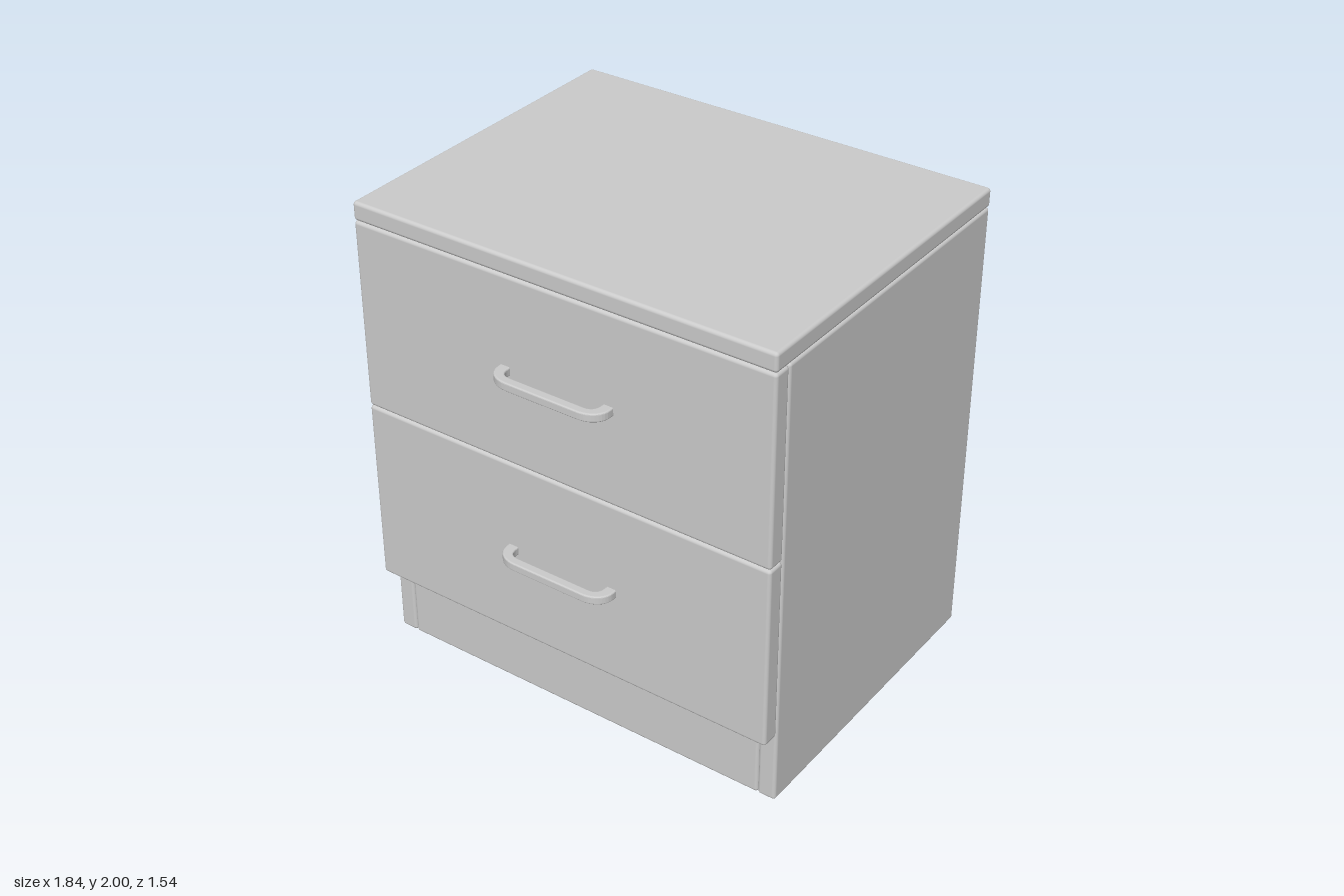
import * as THREE from 'three';
import { RoundedBoxGeometry } from 'three/addons/geometries/RoundedBoxGeometry.js';

const material = new THREE.MeshStandardMaterial({ color: 0xcccccc });

// Board with softened edges, given by its limits on each axis
function board(name, [x0, x1], [y0, y1], [z0, z1]) {
  const mesh = new THREE.Mesh(new RoundedBoxGeometry(x1 - x0, y1 - y0, z1 - z0, 3, 0.014), material);
  mesh.position.set((x0 + x1) / 2, (y0 + y1) / 2, (z0 + z1) / 2);
  mesh.name = name;
  return mesh;
}

// Flat bow handle: plan outline extruded upwards, z = 0 at the drawer face
function handleGeometry() {
  const s = new THREE.Shape();
  s.moveTo(-0.253, -0.01);
  s.lineTo(-0.253, 0.015);
  s.bezierCurveTo(-0.253, 0.06, -0.21, 0.092, -0.16, 0.092);
  s.lineTo(0.16, 0.092);
  s.bezierCurveTo(0.21, 0.092, 0.253, 0.06, 0.253, 0.015);
  s.lineTo(0.253, -0.01);
  s.lineTo(0.208, -0.01);
  s.lineTo(0.208, 0.015);
  s.quadraticCurveTo(0.205, 0.054, 0.165, 0.054);
  s.lineTo(-0.165, 0.054);
  s.quadraticCurveTo(-0.205, 0.054, -0.208, 0.015);
  s.lineTo(-0.208, -0.01);
  s.closePath();
  const bevel = 0.006;
  const g = new THREE.ExtrudeGeometry(s, {
    depth: 0.036 - 2 * bevel, curveSegments: 10,
    bevelSize: bevel, bevelThickness: bevel, bevelOffset: -bevel, bevelSegments: 3,
  });
  g.translate(0, 0, bevel - 0.018);
  g.rotateX(Math.PI / 2);
  return g;
}

export function createModel() {
  const model = new THREE.Group();
  model.name = 'bedsideCabinet';

  // Carcass
  const depth = [-0.765, 0.595];
  model.add(board('top', [-0.92, 0.92], [1.922, 2], [-0.768, 0.675]));
  model.add(board('rightSide', [-0.92, -0.842], [0, 1.922], depth));
  model.add(board('leftSide', [0.842, 0.92], [0, 1.922], depth));
  model.add(board('body', [-0.842, 0.842], [0, 1.922], depth));

  // Drawer fronts with handles
  const handle = handleGeometry();
  for (const [name, y] of [['lowerDrawer', 0.323], ['upperDrawer', 1.123]]) {
    const drawer = new THREE.Group();
    drawer.name = name;
    drawer.add(board('drawerFront', [-0.92, 0.92], [y, y + 0.798], [0.596, 0.675]));
    const grip = new THREE.Mesh(handle, material);
    grip.name = 'handle';
    grip.position.set(0, y + 0.405, 0.675);
    drawer.add(grip);
    model.add(drawer);
  }
  return model;
}
